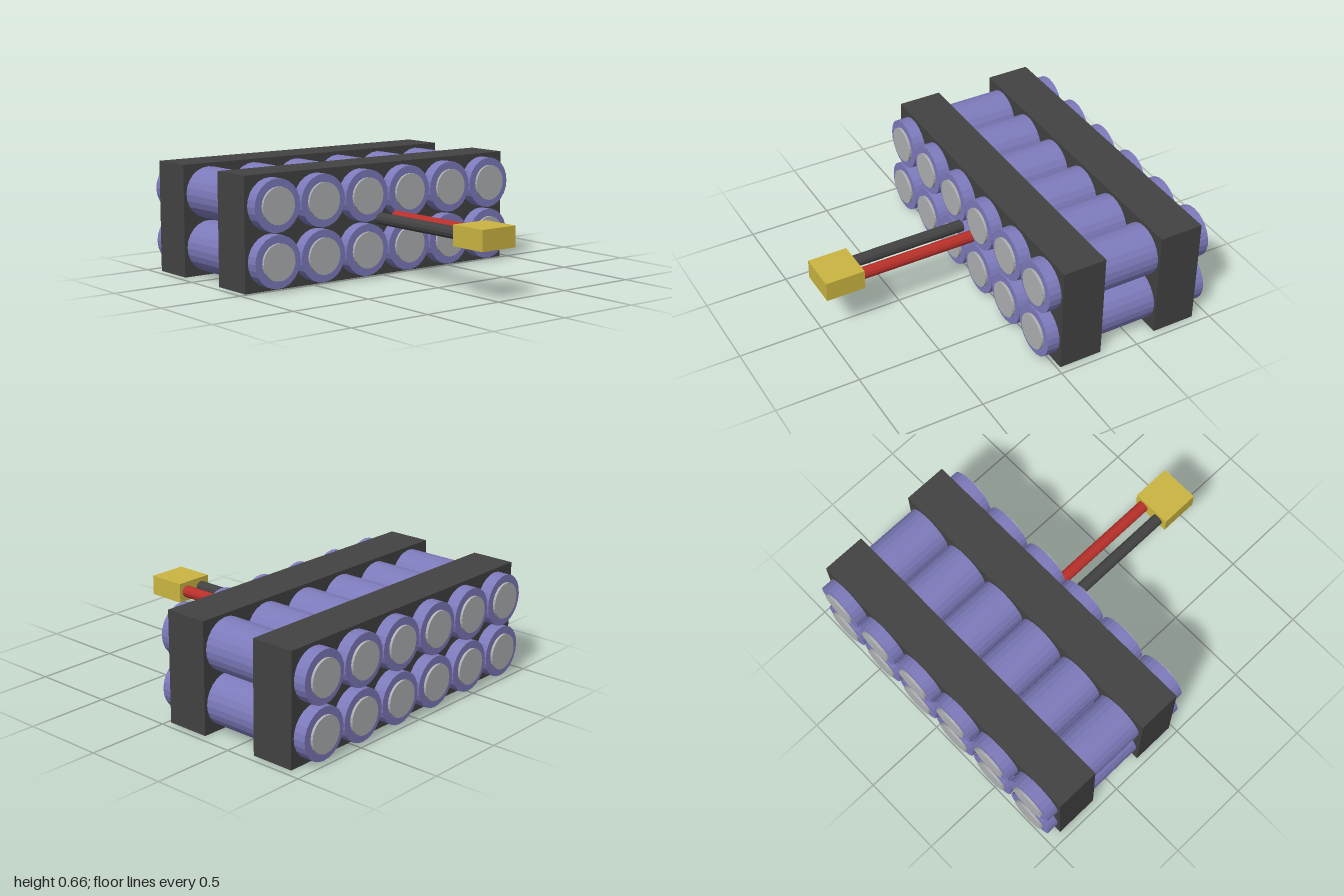
import * as THREE from 'three';

const mat = (name, color, flatShading = false) => {
  const m = new THREE.MeshStandardMaterial({ color, flatShading });
  m.name = name;
  return m;
};

export function createModel() {
  const purple = mat('purple wrap', 0x7d7abb, true);
  const grey = mat('terminal grey', 0xaeb0b2, true);
  const charcoal = mat('charcoal', 0x424242, true);
  const red = mat('wire red', 0xb8302a, true);
  const gold = mat('connector gold', 0xcbb541, true);

  const model = new THREE.Group();
  model.name = 'batteryPack';

  const add = (parent, name, geometry, material, x, y, z) => {
    const mesh = new THREE.Mesh(geometry, material);
    mesh.name = name;
    mesh.position.set(x, y, z);
    parent.add(mesh);
  };
  // Cylinder lying along x
  const rod = (radius, length, sides) =>
    new THREE.CylinderGeometry(radius, radius, length, sides).rotateZ(Math.PI / 2);

  // Two rows of six cells, each with a terminal at both ends
  const cellGeometry = rod(0.152, 1.04, 24);
  const terminalGeometry = rod(0.107, 0.03, 24);
  for (const y of [0.172, 0.488]) {
    for (let i = 0; i < 6; i++) {
      const cell = new THREE.Group();
      cell.name = 'cell';
      cell.position.set(-0.465, y, (i - 2.5) * 0.313);
      add(cell, 'cellBody', cellGeometry, purple, 0, 0, 0);
      for (const side of [-1, 1]) add(cell, 'terminal', terminalGeometry, grey, side * 0.52, 0, 0);
      model.add(cell);
    }
  }

  // Holders around the cells
  const holderGeometry = new THREE.BoxGeometry(0.265, 0.66, 1.906);
  for (const x of [-0.778, -0.152]) add(model, 'holder', holderGeometry, charcoal, x, 0.33, 0);

  // Leads and plug
  const wireGeometry = rod(0.036, 0.72, 12);
  add(model, 'redWire', wireGeometry, red, 0.41, 0.346, -0.062);
  add(model, 'blackWire', wireGeometry, charcoal, 0.41, 0.346, 0.057);
  add(model, 'connector', new THREE.BoxGeometry(0.237, 0.12, 0.24), gold, 0.881, 0.346, 0);

  return model;
}
